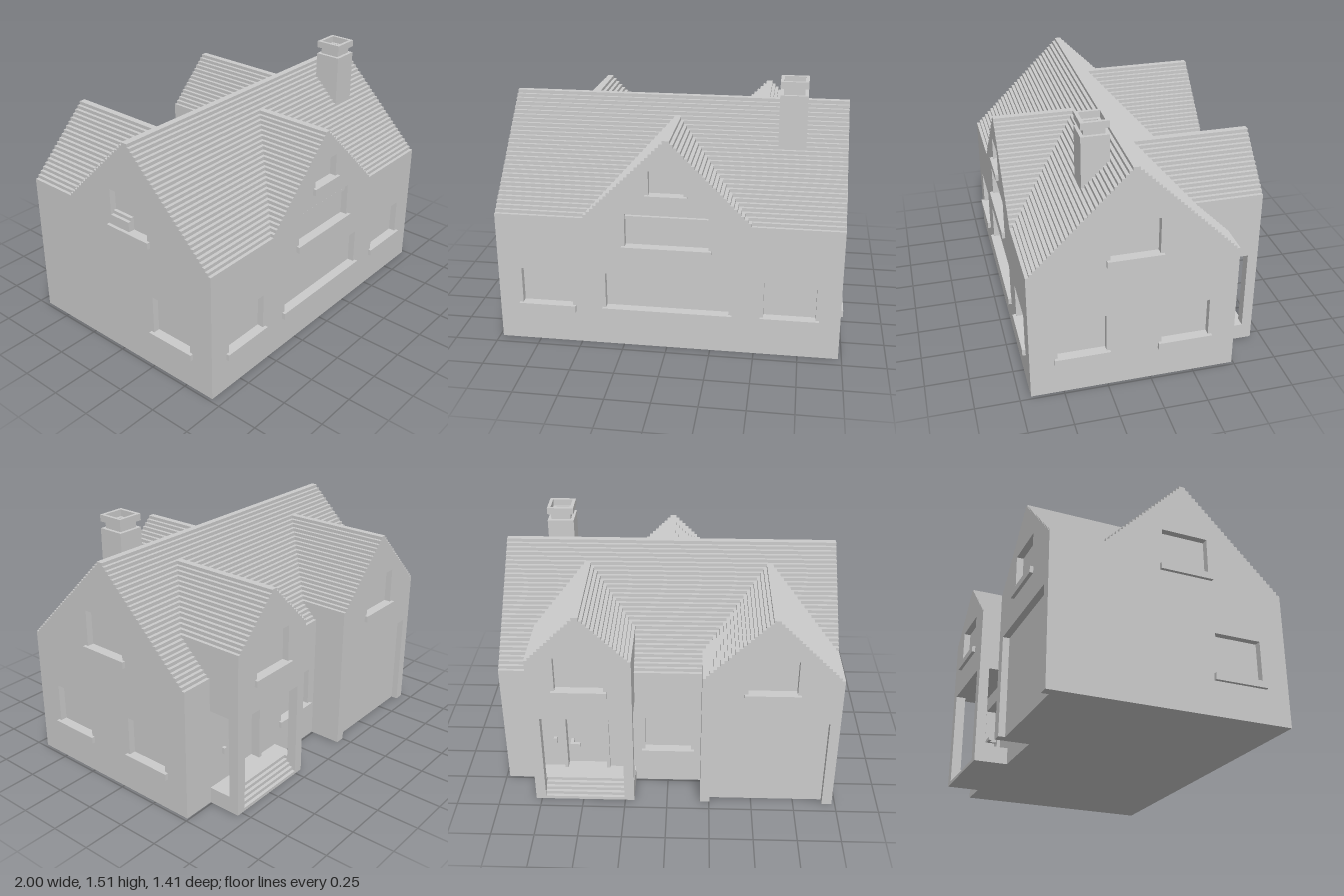
import * as THREE from 'three';

// All sizes below are in grid steps; the finished group is scaled by UNIT.
const UNIT = 1 / 51;
const RECESS = 2;
const material = new THREE.MeshStandardMaterial({ color: 0xcccccc, flatShading: true });

// Wall outline with an optional stepped gable: each course is one step high and one step narrower per side.
function gableShape(centre, half, base, eaves, courses) {
  const right = [[half, base], [half, eaves]];
  for (let j = 0; j < courses; j++) {
    right.push([courses - j, eaves + j], [courses - j, eaves + j + 1]);
  }
  const left = right.map(([u, v]) => [-u, v]).reverse();
  return new THREE.Shape([...right, ...left].map(([u, v]) => new THREE.Vector2(centre + u, v)));
}

function rectHole(u0, u1, v0, v1) {
  return new THREE.Path([[u0, v0], [u0, v1], [u1, v1], [u1, v0]].map(p => new THREE.Vector2(...p)));
}

export function createModel() {
  const house = new THREE.Group();
  house.name = 'house';

  const add = (name, geometry) => {
    const mesh = new THREE.Mesh(geometry, material);
    mesh.name = name;
    house.add(mesh);
    return mesh;
  };

  // Box given by its minimum and maximum on each axis
  const box = (name, x0, x1, y0, y1, z0, z1) => add(name,
    new THREE.BoxGeometry(x1 - x0, y1 - y0, z1 - z0)
      .translate((x0 + x1) / 2, (y0 + y1) / 2, (z0 + z1) / 2));

  // Outline extruded along x or z between two positions
  const slab = (name, shape, axis, from, to) => {
    const g = new THREE.ExtrudeGeometry(shape, { depth: to - from, bevelEnabled: false });
    if (axis === 'x') g.rotateY(-Math.PI / 2).translate(to, 0, 0);
    else g.translate(0, 0, from);
    return add(name, g);
  };

  // Outer wall skin with recessed windows [centre, half width, sill bottom, top] and their sills
  const wall = (name, shape, axis, face, windows, extraHoles = []) => {
    const out = Math.sign(face);
    const span = (a, b) => [Math.min(a, b), Math.max(a, b)];
    for (const [c, h, y, top] of windows) {
      shape.holes.push(rectHole(c - h, c + h, y + 2, top));
      const depth = span(face - out, face + out);
      const width = [c - h - 1, c + h + 1];
      if (axis === 'x') box(name + 'Sill', ...depth, y, y + 2, ...width);
      else box(name + 'Sill', ...width, y, y + 2, ...depth);
    }
    shape.holes.push(...extraHoles);
    slab(name, shape, axis, ...span(face, face - out * RECESS));
  };

  // Main body and its stepped roof
  slab('mainBody', gableShape(5, 28, 0, 40, 29), 'x', -48, 48);
  const upper = [5, 7, 40, 53], lower = [20, 7, 10, 24];
  wall('leftWall', gableShape(5, 30, 0, 40, 29), 'x', 50, [upper, lower, [-10, 7, 10, 24]]);
  wall('rightWall', gableShape(5, 30, 0, 40, 29), 'x', -50, [upper, lower]);

  // Front wall with its centre gable
  slab('frontGableRoof', gableShape(0, 24, 36, 40, 24), 'z', 5, 33);
  wall('frontWall', gableShape(0, 50, 0, 40, 24), 'z', 35, [
    [0, 18, 10, 23], [-35.5, 7.5, 10, 23], [35.5, 7.5, 10, 23],
    [0, 12, 30, 42], [0, 5, 46, 55],
  ]);

  // Back wall with the entrance opening
  wall('backWall', gableShape(0, 50, 0, 40, 0), 'z', -25, [[0, 7, 10, 24]], [rectHole(19, 31, 5, 24)]);

  // Garage wing
  slab('garageWing', gableShape(-30, 20, 0, 45, 19), 'z', -33, 5);
  const garage = new THREE.Shape([
    [-10, 0], [-10, 45], ...Array.from({ length: 19 }, (_, j) => [[-30 + 19 - j, 45 + j], [-30 + 19 - j, 46 + j]]).flat(),
    ...Array.from({ length: 19 }, (_, j) => [[-31 - j, 64 - j], [-31 - j, 63 - j]]).flat(),
    [-50, 45], [-50, 0], [-47, 0], [-47, 30], [-13, 30], [-13, 0],
  ].map(p => new THREE.Vector2(...p)));
  wall('garageWall', garage, 'z', -35, [[-30, 7, 38, 51]]);

  // Porch wing carried on two pillars
  slab('porchWing', gableShape(25, 15, 30, 50, 14), 'z', -33, 5);
  wall('porchWall', gableShape(25, 15, 30, 50, 14), 'z', -35, [[25, 7, 38, 51]]);
  for (const x of [10, 37]) {
    box('porchPillar', x, x + 3, 0, 30, -35, -32);
    box('porchCurb', x, x + 3, 0, 5, -32, -25);
  }
  for (let k = 0; k < 5; k++) box('porchStep', 13, 37, k, k + 1, -35 + k, -25);

  // Door frame, handle and bell
  for (const x of [18, 31]) box('doorJamb', x, x + 1, 5, 25, -26, -25);
  box('doorLintel', 19, 31, 24, 25, -26, -25);
  box('doorHandleStem', 29, 30, 13, 14, -25, -23);
  box('doorHandle', 27, 30, 13, 14, -26, -25);
  box('doorBell', 34, 35, 14, 16, -26, -25);

  // Chimney with a hollow neck and cap
  box('chimneyStack', 30, 38, 50, 73, 9, 17);
  const ring = (name, outer, inner, y) => {
    const s = new THREE.Shape([[-1, -1], [1, -1], [1, 1], [-1, 1]].map(([a, b]) => new THREE.Vector2(a * outer, b * outer)));
    s.holes.push(rectHole(-inner, inner, -inner, inner));
    const g = new THREE.ExtrudeGeometry(s, { depth: 2, bevelEnabled: false });
    add(name, g.rotateX(-Math.PI / 2).translate(34, y, 13));
  };
  ring('chimneyNeck', 3, 2, 73);
  ring('chimneyCap', 4, 3, 75);

  house.scale.setScalar(UNIT);
  const model = new THREE.Group();
  model.add(house);
  return model;
}
